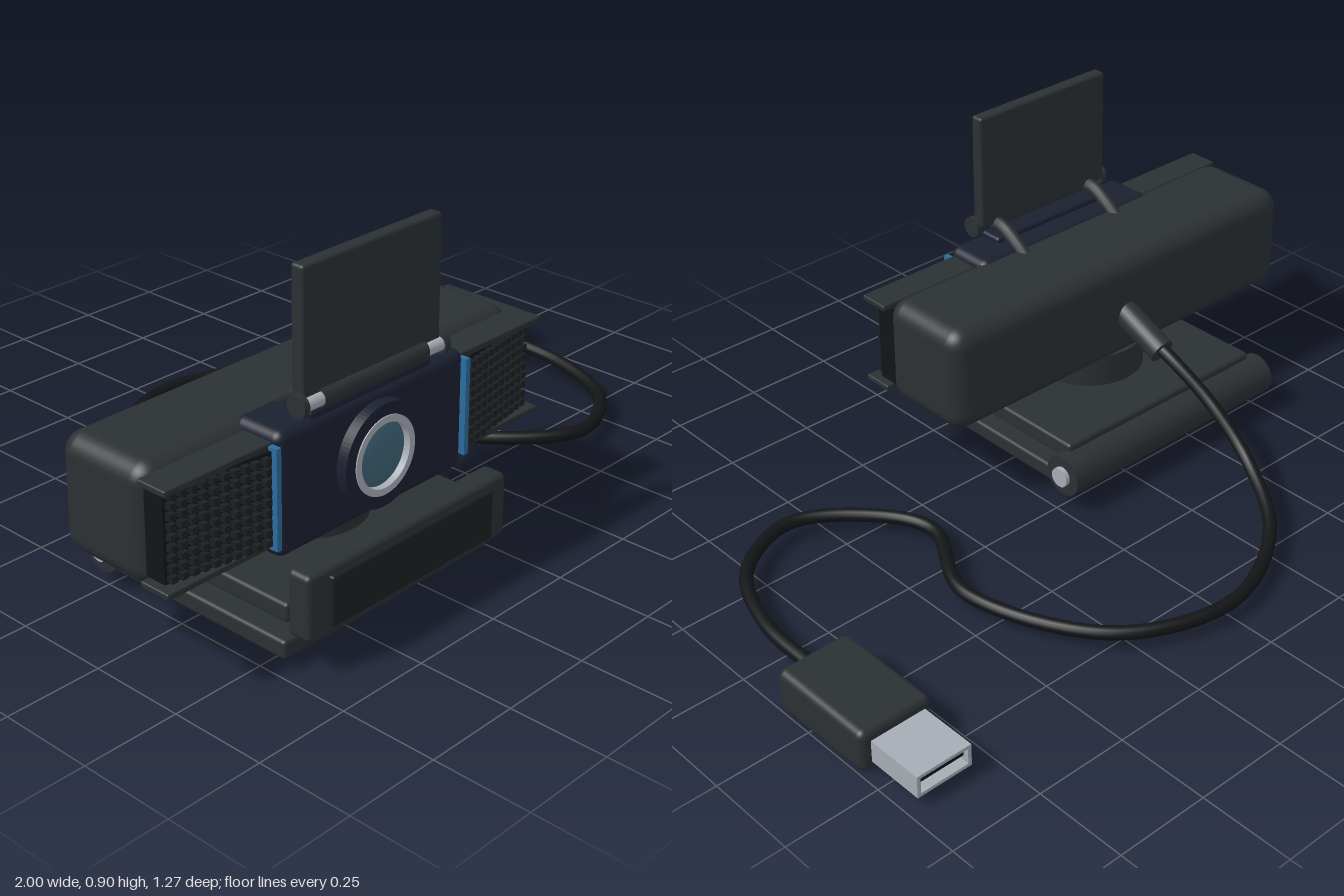
import * as THREE from 'three';
import { mergeGeometries } from 'three/addons/utils/BufferGeometryUtils.js';
import { RoundedBoxGeometry } from 'three/addons/geometries/RoundedBoxGeometry.js';

const CX = -0.388; // camera centre line

export function createModel() {
  const model = new THREE.Group();
  const mat = (color) => new THREE.MeshStandardMaterial({ color });
  const shell = mat(0x2b3033), dark = mat(0x1b1e20), black = mat(0x121416);
  const navy = mat(0x1b2030), blue = mat(0x2a6c9c), glass = mat(0x3f6477), silver = mat(0xa6acb5);

  const add = (name, geo, material, parent = model) => {
    const mesh = new THREE.Mesh(geo, material);
    mesh.name = name;
    parent.add(mesh);
    return mesh;
  };
  // Box given by its limits on each axis, with rounded edges when r > 0
  const box = (name, [x0, x1], [y0, y1], [z0, z1], r, material, parent) => {
    const s = [x1 - x0, y1 - y0, z1 - z0];
    const geo = r ? new RoundedBoxGeometry(...s, 4, r) : new THREE.BoxGeometry(...s);
    geo.translate((x0 + x1) / 2, (y0 + y1) / 2, (z0 + z1) / 2);
    return add(name, geo, material, parent);
  };
  // Cylinder along x
  const rod = (name, x0, x1, y, z, r, material) => {
    const geo = new THREE.CylinderGeometry(r, r, x1 - x0, 32);
    geo.rotateZ(Math.PI / 2).translate((x0 + x1) / 2, y, z);
    return add(name, geo, material);
  };
  // Limits spread evenly about the camera centre line
  const mid = (half) => [CX - half, CX + half];

  // Camera body and centre panel
  box('cameraBody', mid(0.602), [0.25, 0.542], [0.135, 0.415], 0.05, shell);
  box('centrePanel', mid(0.305), [0.243, 0.548], [0.365, 0.51], 0.025, navy);

  // Lens: stepped housing, bright ring and domed glass
  const lens = new THREE.Group();
  lens.name = 'lens';
  lens.position.set(CX, 0.398, 0);
  model.add(lens);
  const turned = (name, pts, material) =>
    add(name, new THREE.LatheGeometry(pts.map(([r, z]) => new THREE.Vector2(r, z)), 64)
      .rotateX(Math.PI / 2), material, lens);
  const ring = (name, ri, ro, z0, z1, material) => {
    const shape = new THREE.Shape().absarc(0, 0, ro, 0, Math.PI * 2);
    shape.holes.push(new THREE.Path().absarc(0, 0, ri, 0, Math.PI * 2, true));
    add(name, new THREE.ExtrudeGeometry(shape, { depth: z1 - z0, bevelEnabled: false, curveSegments: 40 })
      .translate(0, 0, z0), material, lens);
  };
  ring('lensHousing', 0.094, 0.128, 0.49, 0.538, navy);
  ring('lensRing', 0.08, 0.097, 0.5, 0.541, silver);
  turned('lensGlass', [[0.083, 0.522], [0.06, 0.53], [0.03, 0.535], [0, 0.536]], glass).material.side = THREE.DoubleSide;

  // Speaker wings: sloped grille between two flanges, with a blue accent strip
  for (const s of [-1, 1]) {
    const wing = new THREE.Group();
    wing.name = s > 0 ? 'leftWing' : 'rightWing';
    model.add(wing);
    const span = (a, b) => [CX + s * a, CX + s * b].sort((p, q) => p - q);
    box('upperFlange', span(0.305, 0.613), [0.512, 0.528], [0.405, 0.49], 0.004, shell, wing);
    box('lowerFlange', span(0.305, 0.613), [0.272, 0.288], [0.405, 0.49], 0.004, shell, wing);
    box('accentStrip', span(0.304, 0.318), [0.275, 0.522], [0.42, 0.515], 0, blue, wing);
    const slope = (a) => 0.5 - ((a - 0.315) / 0.28) * 0.045;
    const outline = new THREE.Shape([[0.315, 0.4], [0.59, 0.4], [0.59, slope(0.59)], [0.315, slope(0.315)]]
      .map(([a, z]) => new THREE.Vector2(CX + s * a, -z)));
    add('grillePanel', new THREE.ExtrudeGeometry(outline, { depth: 0.226, bevelEnabled: false })
      .rotateX(-Math.PI / 2).translate(0, 0.287, 0), black, wing);
    const bumps = [];
    for (let i = 0; i < 10; i++) for (let j = 0; j < 9; j++) {
      const a = 0.337 + i * 0.0265;
      bumps.push(new THREE.BoxGeometry(0.017, 0.016, 0.022)
        .translate(CX + s * a, 0.302 + j * 0.0245, slope(a) + 0.004));
    }
    add('grilleBumps', mergeGeometries(bumps), dark, wing);
  }

  // Privacy flap standing on its hinge
  box('flap', mid(0.223), [0.585, 0.905], [0.465, 0.502], 0.008, shell);
  rod('flapHinge', CX - 0.17, CX + 0.17, 0.586, 0.494, 0.024, shell);
  for (const s of [-1, 1]) {
    const at = (a, b) => [CX + s * a, CX + s * b].sort((p, q) => p - q);
    rod('flapKnuckle', ...at(0.222, 0.238), 0.586, 0.494, 0.028, shell);
    rod('flapPin', ...at(0.15, 0.226), 0.586, 0.5, 0.017, silver);
    const path = new THREE.CatmullRomCurve3([[0.586, 0.492], [0.58, 0.44], [0.555, 0.395], [0.525, 0.355]]
      .map(([y, z]) => new THREE.Vector3(CX + s * 0.168, y, z)));
    add('flapArm', new THREE.TubeGeometry(path, 16, 0.019, 12), shell);
  }
  box('flapHingeBase', mid(0.2), [0.535, 0.562], [0.43, 0.5], 0.01, navy);

  // Neck and folding clip
  add('neck', new THREE.CylinderGeometry(0.153, 0.153, 0.1, 48).translate(CX, 0.215, 0.29), shell);
  box('upperPlate', mid(0.342), [0.127, 0.175], [0, 0.565], 0.01, shell);
  box('upperPad', mid(0.29), [0.103, 0.13], [0.11, 0.522], 0.006, dark);
  box('frontLip', mid(0.333), [0.094, 0.258], [0.555, 0.622], 0.014, shell);
  box('frontLipPad', mid(0.27), [0.115, 0.24], [0.61, 0.635], 0.006, dark);
  rod('clipHinge', CX - 0.373, CX + 0.373, 0.1, -0.006, 0.057, shell);
  rod('clipHingePin', CX - 0.386, CX + 0.386, 0.1, -0.006, 0.027, silver);
  box('lowerPlate', mid(0.345), [0.032, 0.08], [-0.01, 0.56], 0.01, shell);
  box('lowerPad', mid(0.292), [0.01, 0.035], [0.03, 0.528], 0.006, black);

  // Strain relief, pointing down and back from the body
  const from = new THREE.Vector3(CX, 0.394, 0.18), to = new THREE.Vector3(CX, 0.318, 0.006);
  const relief = add('strainRelief', new THREE.CylinderGeometry(0.036, 0.036, from.distanceTo(to), 24), shell);
  relief.position.copy(from).lerp(to, 0.5);
  relief.quaternion.setFromUnitVectors(new THREE.Vector3(0, 1, 0), from.clone().sub(to).normalize());

  // Cable
  const cable = new THREE.CatmullRomCurve3([
    [CX, 0.335, 0.04], [-0.392, 0.305, -0.03], [-0.408, 0.22, -0.16], [-0.395, 0.115, -0.31],
    [-0.27, 0.06, -0.5], [0, 0.047, -0.617], [0.29, 0.047, -0.505], [0.445, 0.047, -0.15],
    [0.335, 0.047, 0.11], [0.43, 0.047, 0.275], [0.59, 0.048, 0.372], [0.78, 0.05, 0.285],
    [0.875, 0.055, 0.08], [0.893, 0.06, -0.16],
  ].map((p) => new THREE.Vector3(...p)));
  add('cable', new THREE.TubeGeometry(cable, 200, 0.018, 14), black);

  // Plug with hollow metal shell and inner tongue
  box('plugGrip', [0.795, 0.998], [0.003, 0.118], [-0.445, -0.137], 0.02, shell);
  const rect = (Type, w, h) => new Type([[-w, -h], [w, -h], [w, h], [-w, h]].map(([x, y]) => new THREE.Vector2(x, y)));
  const sleeve = rect(THREE.Shape, 0.077, 0.03);
  sleeve.holes.push(rect(THREE.Path, 0.067, 0.021));
  add('plugShell', new THREE.ExtrudeGeometry(sleeve, { depth: 0.165, bevelEnabled: false })
    .translate(0.894, 0.06, -0.602), silver);
  box('plugTongue', [0.832, 0.956], [0.06, 0.078], [-0.592, -0.44], 0, black);

  return model;
}
